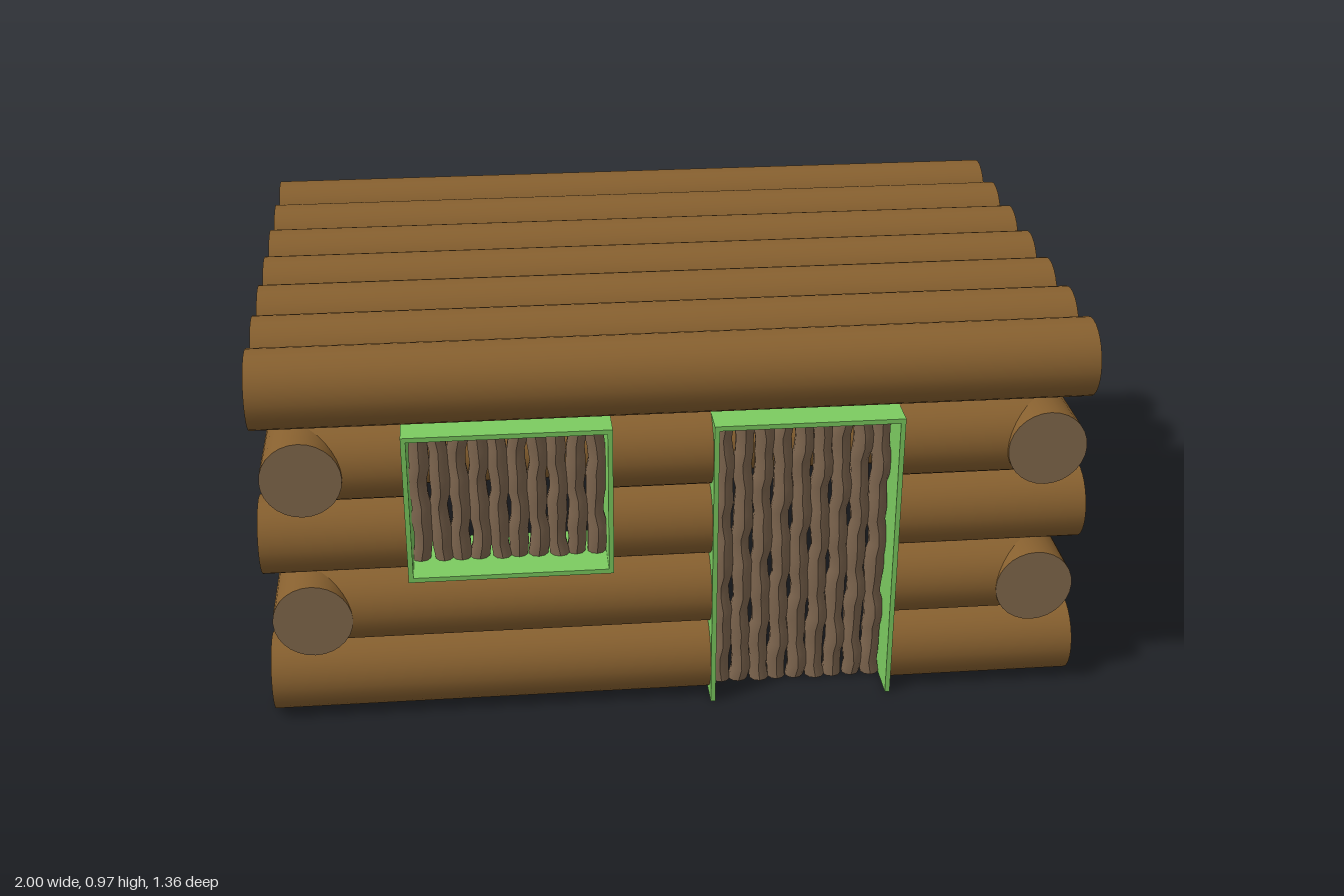
import * as THREE from 'three';

const mat = (name, color) => {
  const m = new THREE.MeshStandardMaterial({ color });
  m.name = name;
  return m;
};

export function createModel() {
  const bark = mat('bark', 0x87602f);
  const cutWood = mat('cut wood', 0x846a4d);
  const stickWood = mat('stick wood', 0x7e664f);
  const trim = mat('green trim', 0x7ccb60);

  const R = 0.096;                          // log radius
  const LEVELS = [0.096, 0.29, 0.484, 0.677]; // wall log heights
  const WALL_X = 0.887, WALL_Z = 0.577;     // wall centre lines
  const OPENINGS = [
    { name: 'window', x0: -0.652, x1: -0.158, y0: 0.387, y1: 0.775, sticks: 10, sill: true },
    { name: 'door', x0: 0.082, x1: 0.538, y0: 0, y1: 0.771, sticks: 9, sill: false },
  ];

  const model = new THREE.Group();
  model.name = 'logCabin';

  // A log lying along x or z, with paler sawn ends
  function log(parent, name, axis, from, to, y, across) {
    const geo = new THREE.CylinderGeometry(R, R, to - from, 28);
    if (axis === 'x') geo.rotateZ(-Math.PI / 2);
    else geo.rotateX(Math.PI / 2);
    const mesh = new THREE.Mesh(geo, [bark, cutWood, cutWood]);
    mesh.name = name;
    const mid = (from + to) / 2;
    mesh.position.set(axis === 'x' ? mid : across, y, axis === 'x' ? across : mid);
    parent.add(mesh);
  }

  const group = (name) => {
    const g = new THREE.Group();
    g.name = name;
    model.add(g);
    return g;
  };
  const front = group('frontWall'), back = group('backWall');
  const left = group('leftWall'), right = group('rightWall'), roof = group('roof');

  // Walls: long logs alternate between the two directions
  LEVELS.forEach((y, i) => {
    const endX = i % 2 === 0 ? 1 : WALL_X;
    log(back, 'backLog', 'x', -endX, endX, y, -WALL_Z);

    // Front logs stop at the openings
    let start = -endX;
    for (const o of OPENINGS) {
      if (y < o.y0 || y > o.y1) continue;
      log(front, 'frontLog', 'x', start, o.x0 + 0.004, y, WALL_Z);
      start = o.x1 - 0.004;
    }
    log(front, 'frontLog', 'x', start, endX, y, WALL_Z);

    const long = i % 2 === 1;
    const z0 = long ? (i === 1 ? -0.682 : -0.672) : -WALL_Z;
    const z1 = long ? (i === 1 ? 0.674 : 0.68) : WALL_Z;
    log(left, 'leftLog', 'z', z0, z1, y, WALL_X);
    log(right, 'rightLog', 'z', z0, z1, y, -WALL_X);
  });

  // Flat roof of seven logs
  for (let i = 0; i < 7; i++) {
    log(roof, 'roofLog', 'x', -1, 1, 0.87, -0.57 + i * 0.1915);
  }

  // Thin trim board across the wall's depth
  function board(parent, name, w, h, x, y) {
    const mesh = new THREE.Mesh(new THREE.BoxGeometry(w, h, 0.196), trim);
    mesh.name = name;
    mesh.position.set(x, y, 0.579);
    parent.add(mesh);
  }

  // Crooked upright stick: each ring of the cylinder is shifted a little
  function stick(parent, x, y0, y1, seed) {
    const h = y1 - y0, r = 0.024;
    const geo = new THREE.CylinderGeometry(r, r, h, 10, Math.round(h / 0.035));
    const p = geo.attributes.position;
    for (let i = 0; i < p.count; i++) {
      const y = p.getY(i);
      const dx = 0.003 * Math.sin(y * 29 + seed * 2.3) + 0.0025 * Math.sin(y * 61 + seed * 4.1);
      const swell = 1 + 0.07 * Math.sin(y * 43 + seed * 1.7);
      p.setXYZ(i, p.getX(i) * swell + dx, y, p.getZ(i) * swell + dx * 0.5);
    }
    geo.computeVertexNormals();
    const mesh = new THREE.Mesh(geo, stickWood);
    mesh.name = 'stick';
    mesh.position.set(x, (y0 + y1) / 2, 0.577);
    parent.add(mesh);
  }

  // Door and window: green frame filled with sticks
  const T = 0.012;
  for (const o of OPENINGS) {
    const g = group(o.name);
    const w = o.x1 - o.x0, h = o.y1 - o.y0;
    const cx = (o.x0 + o.x1) / 2, cy = (o.y0 + o.y1) / 2;
    board(g, 'jamb', T, h, o.x0 + T / 2, cy);
    board(g, 'jamb', T, h, o.x1 - T / 2, cy);
    board(g, 'lintel', w - 2 * T, T, cx, o.y1 - T / 2);
    if (o.sill) board(g, 'sill', w - 2 * T, T, cx, o.y0 + T / 2);

    const pitch = (w - 2 * T) / o.sticks;
    for (let i = 0; i < o.sticks; i++) {
      const bottom = o.sill ? o.y0 + T : 0.004;
      stick(g, o.x0 + T + pitch * (i + 0.5), bottom, o.y1 - T, i + o.sticks);
    }
  }

  return model;
}
